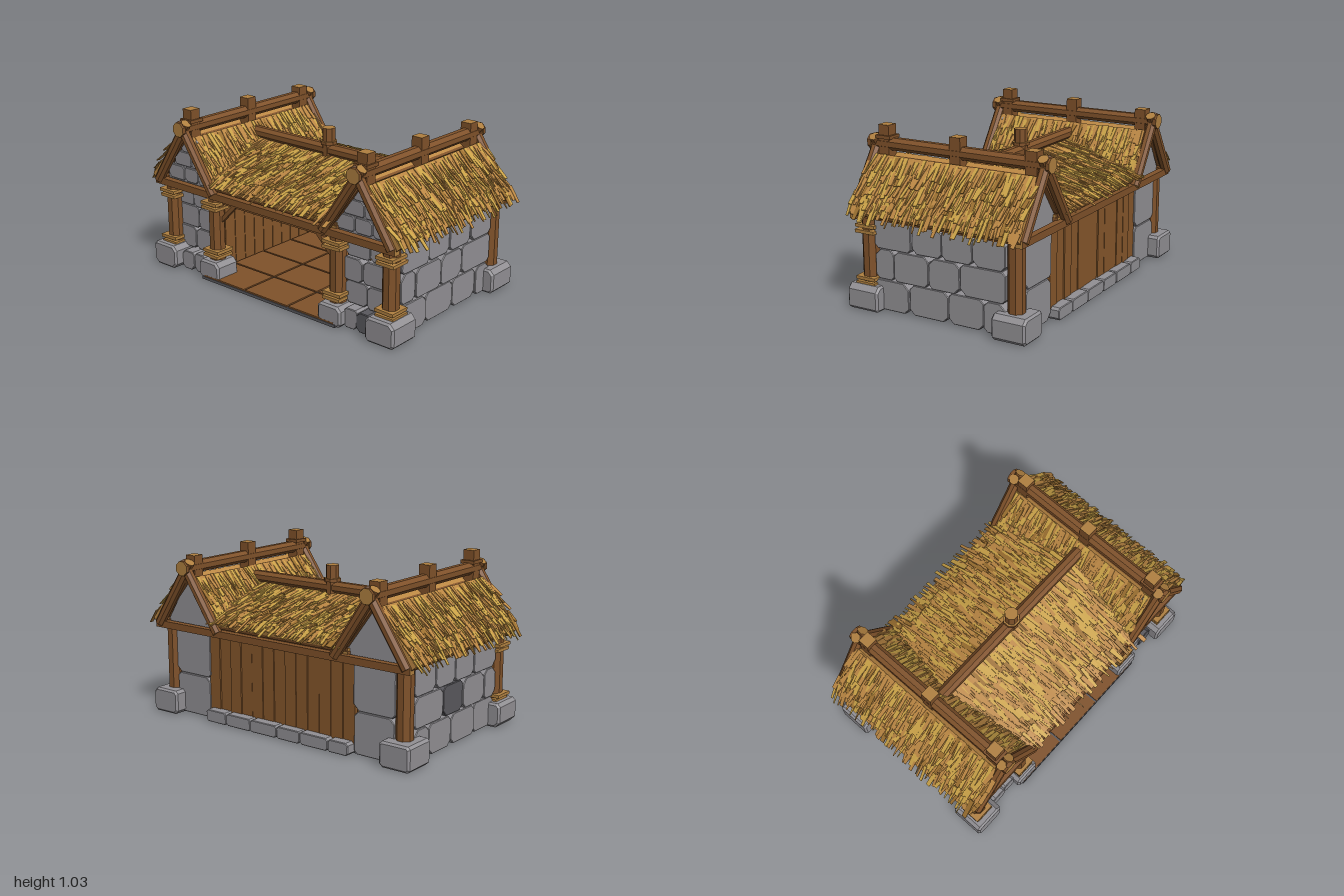
import * as THREE from 'three';
import { mergeGeometries } from 'three/addons/utils/BufferGeometryUtils.js';

const mat = (name, color) => Object.assign(new THREE.MeshStandardMaterial({ color, flatShading: true }), { name });
const wood = mat('wood', 0x80522a), plankWood = mat('plankWood', 0x86572b), endWood = mat('endWood', 0xb08040);
const straw = mat('straw', 0xbc8844), goldStraw = mat('goldStraw', 0xcba348), darkStraw = mat('darkStraw', 0x9c7030);
const stone = mat('stone', 0x929094), darkStone = mat('darkStone', 0x5a595e);
const V = (x, y, z) => new THREE.Vector3(x, y, z);

let seed = 7;
const rnd = () => (seed = (seed * 16807) % 2147483647) / 2147483647;
const jitter = (a) => (rnd() - 0.5) * 2 * a;

function add(parent, geo, material, name, x = 0, y = 0, z = 0) {
  const m = new THREE.Mesh(geo, material);
  m.name = name;
  m.position.set(x, y, z);
  parent.add(m);
  return m;
}
function group(parent, name) {
  const g = new THREE.Group();
  g.name = name;
  parent.add(g);
  return g;
}
const box = (p, name, m, w, h, d, x, y, z) => add(p, new THREE.BoxGeometry(w, h, d), m, name, x, y, z);

// Timber between two points, with pale cut ends: octagonal log or square beam
function place(m, a, b) {
  m.position.copy(a).lerp(b, 0.5);
  m.quaternion.setFromUnitVectors(V(0, 1, 0), b.clone().sub(a).normalize());
}
function log(p, name, a, b, w) {
  const r = w / 2 / Math.cos(Math.PI / 8);
  const geo = new THREE.CylinderGeometry(r, r, a.distanceTo(b), 8).rotateY(Math.PI / 8);
  place(add(p, geo, [wood, endWood, endWood], name), a, b);
}
function beam(p, name, a, b, w) {
  const geo = new THREE.BoxGeometry(w, a.distanceTo(b), w);
  place(add(p, geo, [wood, wood, endWood, endWood, wood, wood], name), a, b);
}

// Chamfered block with cut corners, face towards local z
function block(p, name, [w, h, d], [x, y, z], { rotY = 0, m = stone, cut = 0.03, bev = 0.004 } = {}) {
  const a = w / 2 - 0.001, b = h / 2 - 0.001;
  const c = () => cut * (0.6 + rnd() * 0.7);
  const [c1, c2, c3, c4] = [c(), c(), c(), c()];
  const shape = new THREE.Shape([[-a + c1, -b], [a - c2, -b], [a, -b + c2], [a, b - c3], [a - c3, b], [-a + c4, b], [-a, b - c4], [-a, -b + c1]]
    .map(([u, v]) => new THREE.Vector2(u, v)));
  const geo = new THREE.ExtrudeGeometry(shape, {
    depth: d - 2 * bev, bevelEnabled: true, bevelThickness: bev, bevelSize: bev, bevelOffset: -bev, bevelSegments: 1 });
  geo.translate(0, 0, -d / 2 + bev);
  add(p, geo, m, name, x, y, z).rotation.y = rotY;
}

// Thatched slope: boarding, a straw slab and overlapping rows of loose strips
function thatch(p, name, top, bottom, axis, halfTop, halfBottom, rows, len, lift) {
  const g = group(p, name);
  const down = bottom.clone().sub(top), L = down.length();
  down.normalize();
  let n = axis.clone().cross(down);
  if (n.y < 0) { axis = axis.clone().negate(); n.negate(); }
  const basis = new THREE.Matrix4().makeBasis(axis, down, n).setPosition(top);
  const slab = (t, z, m, label) => {
    const geo = new THREE.BoxGeometry(2, L, t).translate(0, L / 2, z);
    const pos = geo.attributes.position;
    for (let i = 0; i < pos.count; i++) pos.setX(i, pos.getX(i) * (pos.getY(i) > L / 2 ? halfBottom : halfTop));
    geo.computeVertexNormals();
    add(g, geo.applyMatrix4(basis), m, label);
  };
  slab(0.016, -0.022, wood, 'roofBoards');
  slab(0.028, 0, straw, 'strawSlab');
  const lists = [[], [], []];
  for (let r = 0; r < rows; r++) {
    const t = (r + 0.75) / rows, half = halfTop + (halfBottom - halfTop) * t;
    const droop = r === rows - 1 ? 0.2 : 0; // the eave row hangs down
    for (let u = -half; u < half; u += 0.026) {
      const l = len * (0.7 + rnd() * 0.6), w = 0.014 + rnd() * 0.016;
      const geo = new THREE.BoxGeometry(w, l, 0.005);
      const pos = geo.attributes.position, taper = rnd() < 0.45 ? 0.25 : 0.9;
      for (let i = 0; i < pos.count; i++) if (pos.getY(i) > 0) pos.setX(i, pos.getX(i) * taper);
      geo.rotateX(lift * (0.4 + rnd()) - droop).rotateZ(jitter(0.13));
      geo.translate(u + jitter(0.008), Math.max(t * L + jitter(0.02), l / 2), 0.017 + rnd() * 0.006);
      const k = rnd();
      lists[k < 0.45 ? 0 : k < 0.88 ? 1 : 2].push(geo.applyMatrix4(basis));
    }
  }
  [goldStraw, straw, darkStraw].forEach((m, i) => add(g, mergeGeometries(lists[i]), m, 'strawStrips'));
}

function wing(root, s) {
  const g = group(root, s > 0 ? 'leftWing' : 'rightWing');
  const X = 0.67 * s;

  // Outer wall: three courses of four blocks
  const courses = [[0.01, 0.19, [0.43, 0.2, -0.06, -0.29, -0.43]], [0.19, 0.37, [0.43, 0.3, 0.065, -0.14, -0.43]],
    [0.37, 0.55, [0.43, 0.18, -0.02, -0.22, -0.43]]];
  courses.forEach(([y0, y1, zs], row) => {
    for (let i = 0; i < 4; i++)
      block(g, 'wallStone', [zs[i] - zs[i + 1], y1 - y0, 0.1], [(0.83 + jitter(0.006)) * s, (y0 + y1) / 2, (zs[i] + zs[i + 1]) / 2],
        { rotY: Math.PI / 2, m: s < 0 && row === 1 && i === 2 ? darkStone : stone });
  });

  // Front wall: small blocks; back wall: two large blocks
  [[0.13, 0.27, 0.68], [0.27, 0.41, 0.65], [0.41, 0.545, 0.69]].forEach(([y0, y1, mid]) => {
    for (const [a, b] of [[0.52, mid], [mid, 0.83]])
      block(g, 'frontStone', [b - a, y1 - y0, 0.08], [(a + b) / 2 * s, (y0 + y1) / 2, 0.43 + jitter(0.008)], { cut: 0.02 });
  });
  block(g, 'backStone', [0.27, 0.25, 0.1], [0.67 * s, 0.135, -0.46]);
  block(g, 'backStone', [0.28, 0.29, 0.1], [0.67 * s, 0.405, -0.46]);

  // Foundation blocks
  const rough = { cut: 0.025, bev: 0.012 };
  for (const z of [0.48, -0.48]) block(g, 'cornerFoundation', [0.2, 0.15, 0.21], [0.85 * s, 0.078, z], rough);
  block(g, 'frontFoundation', [0.17, 0.125, 0.17], [0.48 * s, 0.066, 0.48], rough);
  block(g, 'frontFoundation', [0.1, 0.12, 0.12], [0.6 * s, 0.064, 0.46], { cut: 0.02 });
  block(g, 'frontFoundation', [0.11, 0.12, 0.12], [0.7 * s, 0.064, 0.465], { cut: 0.025, m: s > 0 ? darkStone : stone });

  // Posts, the front ones with lashings
  for (const [x, z] of [[0.85, 0.48], [0.48, 0.48], [0.85, -0.48]]) {
    log(g, 'post', V(x * s, 0.12, z), V(x * s, 0.55, z), 0.092);
    if (z > 0) for (const y of [0.155, 0.185, 0.46, 0.49])
      box(g, 'lashing', endWood, 0.115 + rnd() * 0.015, 0.019, 0.13, x * s + jitter(0.005), y, z).rotation.z = jitter(0.03);
  }

  // Gables: crossed logs over a stone wall
  for (const f of [1, -1]) {
    const tri = new THREE.Shape([V(-0.225, 0, 0), V(0.225, 0, 0), V(0, 0.36, 0)]);
    add(g, new THREE.ExtrudeGeometry(tri, { depth: 0.05, bevelEnabled: false }), stone, 'gableWall', X, 0.55, f > 0 ? 0.45 : -0.5);
    log(g, 'gableBeam', V(X - 0.03 * s, 0.962, f * 0.55), V(0.905 * s, 0.56, f * 0.55), 0.058);
    log(g, 'gableBeam', V(X + 0.03 * s, 0.962, f * 0.55), V(0.43 * s, 0.56, f * 0.55), 0.058);
  }
  [[0.575, [-0.19, -0.05, 0.07, 0.19]], [0.67, [-0.13, 0.015, 0.13]], [0.76, [-0.07, 0.07]]].forEach(([y, xs]) => {
    for (let i = 0; i + 1 < xs.length; i++)
      block(g, 'gableStone', [xs[i + 1] - xs[i], 0.092, 0.03], [X + (xs[i] + xs[i + 1]) / 2, y + 0.046, 0.495], { cut: 0.016 });
  });

  // Ridge, its stub posts, and eave beams
  log(g, 'ridgeBeam', V(X, 0.925, -0.58), V(X, 0.925, 0.58), 0.072);
  for (const f of [1, -1]) log(g, 'ridgeEnd', V(X, 0.925, f * 0.57), V(X, 0.925, f * 0.592), 0.085);
  for (const [z, y] of [[0.48, 1.035], [0, 1.015], [-0.48, 0.995]]) beam(g, 'ridgeStub', V(X, 0.84, z), V(X, y, z), 0.07);
  box(g, 'stubCollar', wood, 0.09, 0.02, 0.1, X, 0.965, 0.48);
  beam(g, 'eaveBeam', V(0.885 * s, 0.56, -0.53), V(0.885 * s, 0.56, 0.53), 0.04);
  beam(g, 'eaveBeam', V(0.48 * s, 0.565, -0.53), V(0.48 * s, 0.565, 0.53), 0.05);

  thatch(g, 'outerThatch', V(0.71 * s, 0.86, 0), V(0.95 * s, 0.575, 0), V(0, 0, 1), 0.55, 0.55, 5, 0.12, 0.14);
  thatch(g, 'innerThatch', V(0.64 * s, 0.86, 0), V(0.47 * s, 0.63, 0), V(0, 0, 1), 0.53, 0.53, 4, 0.11, 0.1);

  // Partition between hall and wing
  for (let i = 0; i < 11; i++) box(g, 'partitionPlank', plankWood, 0.02, 0.53, 0.08, 0.535 * s, 0.285, -0.43 + i * 0.084);
}

function hall(root) {
  const g = group(root, 'hall');

  // Floor slab and boards
  box(g, 'floorBase', darkStone, 1.06, 0.018, 1.05, 0, 0.012, 0.045);
  for (let i = 0; i < 3; i++) for (let j = 0; j < 4; j++)
    box(g, 'floorPanel', wood, 0.335, 0.01, 0.25, (i - 1) * 0.347, 0.025, -0.345 + j * 0.262);

  // Plank back wall on a low stone course
  for (let i = 0; i < 13; i++) box(g, 'backPlank', plankWood, 0.079, 0.5, 0.025, (i - 6) * 0.083, 0.31, -0.49 + jitter(0.004));
  const xs = [-0.53, -0.39, -0.19, -0.02, 0.18, 0.37, 0.53];
  for (let i = 0; i < 6; i++)
    block(g, 'sillStone', [xs[i + 1] - xs[i], 0.075, 0.11], [(xs[i] + xs[i + 1]) / 2, 0.043, -0.505], { cut: 0.012 });

  // Inner frame
  for (const s of [-1, 1]) {
    beam(g, 'innerPost', V(0.21 * s, 0.03, -0.42), V(0.21 * s, 0.56, -0.42), 0.06);
    beam(g, 'brace', V(0.44 * s, 0.38, 0.47), V(0.33 * s, 0.49, 0.47), 0.025);
  }
  for (const y of [0.21, 0.44]) beam(g, 'rail', V(-0.52, y, -0.455), V(0.52, y, -0.455), 0.03);
  beam(g, 'lintel', V(-0.48, 0.505, 0.47), V(0.48, 0.505, 0.47), 0.035);

  // Long tie beams, wall plates and the low roof
  for (const f of [1, -1]) {
    beam(g, 'tieBeam', V(-0.93, 0.555, f * 0.54), V(0.93, 0.555, f * 0.54), 0.042);
    beam(g, 'wallPlate', V(-0.5, 0.585, f * 0.5), V(0.5, 0.585, f * 0.5), 0.04);
    thatch(g, f > 0 ? 'frontThatch' : 'backThatch', V(0, 0.755, f * 0.01), V(0, 0.615, f * 0.55), V(1, 0, 0), 0.57, 0.48, 8, 0.12, 0.05);
  }

  // Ridge with a centre stub
  log(g, 'hallRidge', V(-0.6, 0.805, 0), V(0.6, 0.805, 0), 0.07);
  log(g, 'hallStub', V(0, 0.72, 0), V(0, 0.94, 0), 0.075);
  log(g, 'hallStubCollar', V(0, 0.84, 0), V(0, 0.86, 0), 0.095);
}

export function createModel() {
  const root = new THREE.Group();
  root.name = 'thatchedStable';
  for (const s of [-1, 1]) wing(root, s);
  hall(root);
  return root;
}
